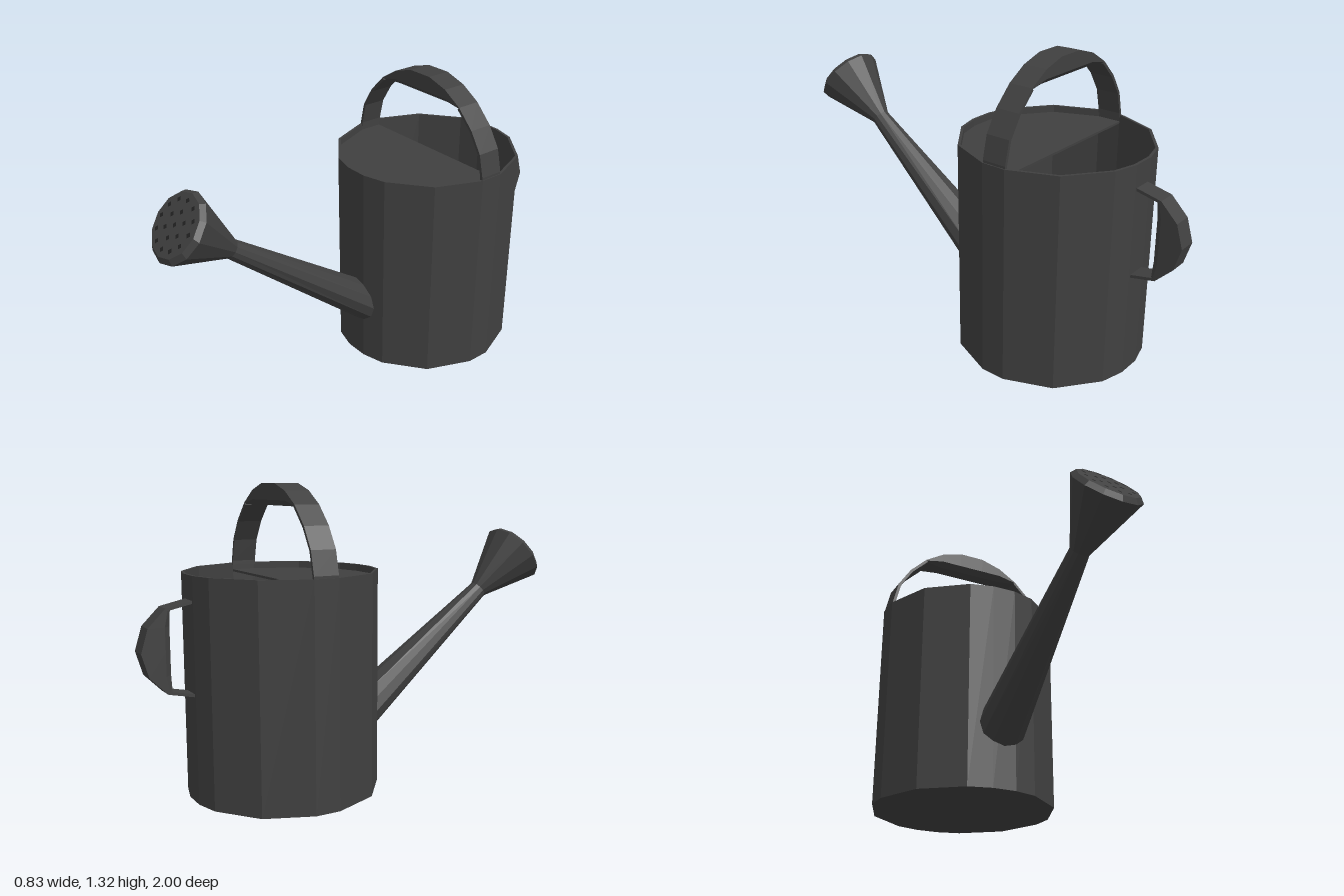
import * as THREE from 'three';

const V = (x, y, z) => new THREE.Vector3(x, y, z);

// Skin a list of equal-length rings (counter-clockwise about the path) and cap both ends
function loft(rings) {
  const pos = [];
  const tri = (...pts) => pts.forEach((p) => pos.push(p.x, p.y, p.z));
  for (let k = 0; k < rings.length - 1; k++) {
    const r = rings[k], s = rings[k + 1], n = r.length;
    for (let i = 0; i < n; i++) {
      const j = (i + 1) % n;
      tri(r[i], r[j], s[j]);
      tri(r[i], s[j], s[i]);
    }
  }
  const first = rings[0], last = rings[rings.length - 1];
  for (let i = 1; i < first.length - 1; i++) {
    tri(first[0], first[i + 1], first[i]);
    tri(last[0], last[i], last[i + 1]);
  }
  const g = new THREE.BufferGeometry();
  g.setAttribute('position', new THREE.Float32BufferAttribute(pos, 3));
  g.computeVertexNormals();
  return g;
}

export function createModel() {
  const model = new THREE.Group();
  model.name = 'wateringCan';
  const metal = new THREE.MeshStandardMaterial({ name: 'darkMetal', color: 0x404040, flatShading: true });
  const holeDark = new THREE.MeshStandardMaterial({ name: 'holeDark', color: 0x222222, flatShading: true });
  const add = (name, geometry, parent = model, material = metal) => {
    const m = new THREE.Mesh(geometry, material);
    m.name = name;
    parent.add(m);
    return m;
  };

  // Body: open can with uneven facets, mirrored in both directions
  const R = 0.419, CZ = -0.37, H = 0.955;
  const quarter = [7.5, 22.5, 52.5, 82.5];
  const half = [...quarter, ...quarter.map((a) => 180 - a).reverse()];
  const angles = [...half.map((a) => -a).reverse(), ...half];
  const ring = (r, y, list = angles) => list.map((d) => {
    const a = THREE.MathUtils.degToRad(d);
    return V(r * Math.sin(a), y, CZ + r * Math.cos(a));
  });
  add('body', loft([ring(R, 0), ring(R, H), ring(R - 0.012, H), ring(R - 0.012, 0.015)]));

  // Half lid, set slightly below the rim over the front half
  const front = angles.filter((a) => Math.abs(a) < 100);
  add('halfLid', loft([ring(R - 0.008, 0.915, front), ring(R - 0.008, 0.925, front)]));

  // Strap handle with a thick grip, arching in local xy.
  // leg: outer points [x, y]; grip: [x, top, side, bottom, bottom half width]
  function handle(name, w, leg, grip) {
    const g = new THREE.Group();
    g.name = name;
    const strap = leg.map(([x, y]) => {
      const s = 1 - 0.013 / Math.hypot(x, y);
      return [V(x * s, y * s, w), V(x, y, w), V(x, y, -w), V(x * s, y * s, -w)];
    });
    const flip = (rings) => rings.map((r) => r.map((p) => V(-p.x, p.y, p.z))).reverse();
    add('strapA', loft(strap), g);
    add('strapB', loft(flip(strap)), g);
    const sections = grip.map(([x, t, s, b, q]) => [
      V(x, b, q), V(x, s, w), V(x, t, w), V(x, t, -w), V(x, s, -w), V(x, b, -q)]);
    const mirrored = flip(sections);
    if (grip[grip.length - 1][0] === 0) mirrored.shift();
    add('grip', loft([...sections, ...mirrored]), g);
    model.add(g);
    return g;
  }

  const top = handle('topHandle', 0.055,
    [[0.411, -0.01], [0.411, 0.01], [0.387, 0.11], [0.33, 0.2], [0.25, 0.28]],
    [[0.25, 0.28, 0.276, 0.272, 0.05], [0.16, 0.335, 0.295, 0.272, 0.03], [0.06, 0.365, 0.295, 0.272, 0.03]]);
  top.position.set(0, H, CZ);

  const back = handle('backHandle', 0.042,
    [[0.2, -0.005], [0.175, 0.11]],
    [[0.175, 0.11, 0.1, 0.09, 0.036], [0.1, 0.185, 0.115, 0.09, 0.022], [0, 0.215, 0.115, 0.09, 0.022]]);
  back.setRotationFromMatrix(new THREE.Matrix4().makeBasis(V(0, 1, 0), V(0, 0, -1), V(-1, 0, 0)));
  back.position.set(0, 0.655, -0.785);

  // Spout: round sections, the base cut upright against the wall
  const axis = V(0, 0.62, 0.785).normalize();
  const upright = V(0, 0, 1);
  const disc = (y, z, r, dir = axis) => {
    const up = V(0, dir.z, -dir.y);
    return Array.from({ length: 12 }, (_, i) => {
      const a = (i * Math.PI) / 6;
      return V(-r * Math.sin(a), y, z).addScaledVector(up, r * Math.cos(a));
    });
  };
  add('spout', loft([disc(0.285, 0.025, 0.112, upright), disc(0.81, 0.697, 0.042)]));

  // Rose: flared cone with a bevelled rim and flat face
  add('rose', loft([disc(0.805, 0.69, 0.042), disc(0.975, 0.902, 0.155), disc(0.99, 0.916, 0.137)]));

  // Sprinkler holes in rings over the rose face
  const holes = new THREE.Group();
  holes.name = 'sprinklerHoles';
  holes.position.set(0, 0.99, 0.916).addScaledVector(axis, 0.003);
  holes.quaternion.setFromUnitVectors(upright, axis);
  [[1, 0], [6, 0.055], [12, 0.105]].forEach(([n, r]) => {
    for (let i = 0; i < n; i++) {
      const a = (i / n) * Math.PI * 2 + Math.PI / 2;
      add('hole', new THREE.CircleGeometry(0.012, 4), holes, holeDark)
        .position.set(r * Math.cos(a), r * Math.sin(a), 0);
    }
  });
  model.add(holes);
  return model;
}
